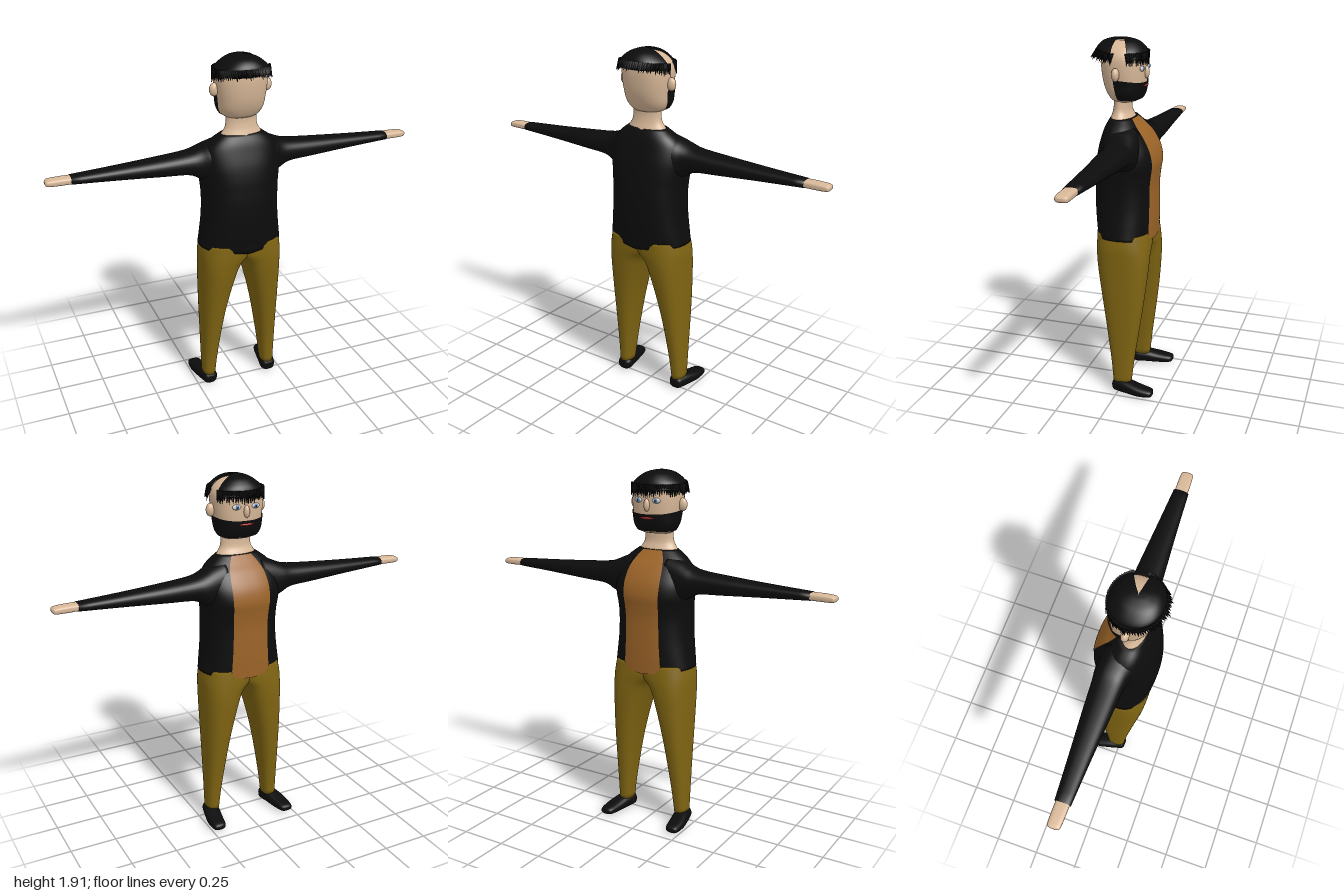
import * as THREE from 'three';

const COLORS = { skin: 0xd8b898, black: 0x0c0c0c, pants: 0x806512, panel: 0x9c6428, white: 0xf0f0f0, blue: 0x4a7fb5, red: 0xb03030 };
const mats = {};
for (const k in COLORS) mats[k] = new THREE.MeshStandardMaterial({ color: COLORS[k] });
const hairMat = new THREE.MeshStandardMaterial({ color: COLORS.black, side: THREE.DoubleSide });

// where (u, axis, v) land in xyz for each loft axis
const ORDER = { y: (u, t, v) => [u, t, v], x: (u, t, v) => [t, v, u], z: (u, t, v) => [v, u, t] };

// Smooth skin through rounded cross-sections [t, uLow, uHigh, vLow, vHigh], listed along the axis.
// from/to limit the angle or the length, to cut a patch out of the same surface.
function loft(sections, { axis = 'y', n = 2.4, a0 = 0, a1 = Math.PI * 2, s0 = 0, s1 = sections.length - 1, grow = 0, rows = 28, cols = 48, warp } = {}) {
  const curve = new THREE.CubicInterpolant(sections.map((s, i) => i), sections.flat(), 5);
  const full = a1 - a0 > 6.28;
  const pos = [], index = [];
  const w = full ? cols : cols + 1;
  const power = (c) => Math.sign(c) * Math.abs(c) ** (2 / n);
  const first = full ? -1 : 0, last = full ? rows + 1 : rows;
  for (let i = first; i <= last; i++) {
    const k = THREE.MathUtils.clamp(i / rows, 0, 1);
    const [t, ul, uh, vl, vh] = curve.evaluate(s0 + (s1 - s0) * k);
    const open = i < 0 || i > rows ? 0 : 1; // closed ends collapse to the middle
    for (let j = 0; j < w; j++) {
      const a = a0 + (a1 - a0) * j / cols;
      const u = (ul + uh) / 2 + open * ((uh - ul) / 2 + grow) * power(Math.cos(a));
      const v = (vl + vh) / 2 + open * ((vh - vl) / 2 + grow) * power(Math.sin(a));
      const p = ORDER[axis](u, t, v);
      if (warp) warp(p, k, a);
      pos.push(...p);
    }
  }
  for (let i = 0; i < last - first; i++) for (let j = 0; j < cols; j++) {
    const a = i * w + j, b = i * w + (j + 1) % w;
    index.push(a, a + w, b + w, a, b + w, b);
  }
  const g = new THREE.BufferGeometry();
  g.setAttribute('position', new THREE.Float32BufferAttribute(pos, 3));
  g.setIndex(index);
  g.computeVertexNormals();
  return g;
}

function add(parent, name, geometry, material, position = [0, 0, 0], scale = [1, 1, 1]) {
  const m = new THREE.Mesh(geometry, material);
  m.name = name;
  m.position.set(...position);
  m.scale.set(...scale);
  parent.add(m);
  return m;
}

const TORSO = [
  [0.89, -0.226, 0.226, -0.147, 0.147], [0.95, -0.217, 0.217, -0.15, 0.157], [1.05, -0.205, 0.205, -0.151, 0.165],
  [1.15, -0.202, 0.202, -0.151, 0.166], [1.22, -0.205, 0.205, -0.158, 0.162], [1.28, -0.212, 0.212, -0.165, 0.157],
  [1.35, -0.215, 0.215, -0.15, 0.145], [1.42, -0.2, 0.2, -0.11, 0.125], [1.465, -0.165, 0.165, -0.07, 0.11], [1.505, -0.112, 0.112, -0.035, 0.09],
];
const ARM = [
  [0.1, -0.1, 0.1, 1.26, 1.48], [0.17, -0.105, 0.09, 1.25, 1.458], [0.22, -0.105, 0.07, 1.27, 1.436], [0.28, -0.098, 0.06, 1.298, 1.418],
  [0.42, -0.09, 0.05, 1.308, 1.405], [0.64, -0.075, 0.035, 1.322, 1.39], [0.875, -0.06, 0.022, 1.335, 1.377],
];
const HAND = [
  [0.86, -0.053, 0.016, 1.338, 1.374], [0.93, -0.054, 0.015, 1.337, 1.374], [0.98, -0.053, 0.012, 1.338, 1.371], [0.995, -0.048, 0.007, 1.342, 1.366], [1.0, -0.035, -0.005, 1.349, 1.36],
];
const LEG = [
  [0.06, 0.145, 0.215, -0.07, 0.03], [0.2, 0.13, 0.217, -0.085, 0.045], [0.4, 0.102, 0.219, -0.112, 0.075], [0.55, 0.073, 0.221, -0.13, 0.1],
  [0.7, 0.033, 0.223, -0.143, 0.125], [0.78, 0, 0.224, -0.146, 0.135], [0.84, -0.06, 0.224, -0.146, 0.141], [0.91, -0.1, 0.214, -0.142, 0.143],
];
const SHOE = [
  [-0.202, 0.018, 0.032, 0.2, 0.228], [-0.188, 0.006, 0.044, 0.176, 0.246], [-0.12, 0, 0.056, 0.16, 0.25], [-0.05, 0, 0.07, 0.147, 0.237],
  [0, 0, 0.072, 0.138, 0.224], [0.024, 0.004, 0.066, 0.146, 0.216], [0.034, 0.018, 0.052, 0.16, 0.202],
];
const NECK = [
  [1.485, -0.122, 0.122, -0.035, 0.098], [1.51, -0.104, 0.104, -0.025, 0.089], [1.54, -0.087, 0.087, -0.012, 0.08], [1.58, -0.082, 0.082, -0.008, 0.075], [1.64, -0.085, 0.085, -0.008, 0.08],
];
const HEAD = [
  [1.59, -0.075, 0.075, -0.04, 0.075], [1.605, -0.1, 0.1, -0.066, 0.09], [1.64, -0.119, 0.119, -0.08, 0.11], [1.69, -0.126, 0.126, -0.087, 0.127],
  [1.75, -0.133, 0.133, -0.09, 0.136], [1.81, -0.133, 0.133, -0.088, 0.138], [1.85, -0.114, 0.114, -0.072, 0.128], [1.88, -0.075, 0.075, -0.04, 0.105], [1.893, -0.03, 0.03, 0, 0.07],
];
const HAIR = [
  [1.815, -0.145, 0.145, -0.098, 0.162], [1.845, -0.133, 0.133, -0.092, 0.168], [1.87, -0.108, 0.108, -0.075, 0.158], [1.893, -0.072, 0.072, -0.045, 0.13], [1.906, -0.03, 0.03, 0, 0.085], [1.909, -0.002, 0.002, 0.04, 0.044],
];

function addHair(head) {
  let seed = 7;
  const rand = () => (seed = (seed * 16807) % 2147483647) / 2147483647;
  // cap, left open over one temple
  const a0 = 0.1, a1 = Math.PI * 2 - 0.45;
  add(head, 'hairCap', loft(HAIR, { a0, a1, cols: 72, n: 2.2 }), hairMat);
  // pointed locks hanging from the rim, swept out at the back
  const locks = new THREE.Group();
  locks.name = 'hairLocks';
  const up = new THREE.Vector3(0, 1, 0);
  for (let i = 0; i < 76; i++) {
    const a = a0 + (a1 - a0) * (i + 0.3 + 0.4 * rand()) / 76;
    const c = Math.cos(a), s = Math.sin(a), back = Math.max(0, s);
    const base = new THREE.Vector3(0.139 * c, 1.842 + 0.008 * back, 0.032 + (s > 0 ? 0.128 : 0.124) * s);
    const dir = new THREE.Vector3(c * 0.22, -1 + 0.25 * back, s * (s > 0 ? 0.75 : 0.1)).normalize();
    const length = 0.05 + 0.022 * rand() - 0.012 * back;
    const lock = add(locks, 'hairLock', new THREE.ConeGeometry(0.012, length, 5), hairMat);
    lock.quaternion.setFromUnitVectors(up, dir);
    lock.position.copy(base).addScaledVector(dir, length / 2);
  }
  head.add(locks);
}

export function createModel() {
  const model = new THREE.Group();
  model.name = 'standingMan';
  const ball = new THREE.SphereGeometry(1, 20, 14);
  const front = -Math.PI / 2;

  // shirt with a dipped hem and a coloured front panel
  const hem = (p) => { if (p[1] < 0.93) p[1] -= (0.93 - p[1]) * 0.75 * (1 - Math.min(1, Math.abs(p[0]) / 0.22)); };
  add(model, 'shirt', loft(TORSO, { rows: 40, cols: 64, warp: hem }), mats.black);
  add(model, 'shirtPanel', loft(TORSO, { rows: 40, cols: 16, a0: front - 0.43, a1: front + 0.43, grow: 0.003, warp: hem }), mats.panel);

  // limbs, one group per side
  const limbs = [
    ['sleeve', loft(ARM, { axis: 'x', cols: 32 }), mats.black],
    ['hand', loft(HAND, { axis: 'x', n: 3.2, cols: 32 }), mats.skin],
    ['trouserLeg', loft(LEG, { n: 2.5, rows: 36 }), mats.pants],
    ['shoe', loft(SHOE, { axis: 'z', n: 2.6, cols: 32 }), mats.black],
  ];
  for (const side of [1, -1]) {
    const group = new THREE.Group();
    group.name = side > 0 ? 'leftLimbs' : 'rightLimbs';
    group.scale.x = side;
    for (const [name, geometry, material] of limbs) add(group, name, geometry, material);
    model.add(group);
  }

  // head and neck
  const head = new THREE.Group();
  head.name = 'head';
  model.add(head);
  add(head, 'neck', loft(NECK, { n: 2 }), mats.skin);
  add(head, 'skull', loft(HEAD), mats.skin);
  // beard wraps the jaw, its upper edge dipping towards the mouth
  const dip = (p, k, a) => { p[1] -= 0.022 * k * k * Math.cos((a - front) / 2) ** 4; };
  add(head, 'beard', loft(HEAD, { s0: 0.9, s1: 3.4, a0: front - 1.72, a1: front + 1.72, grow: 0.004, warp: dip }), hairMat);
  add(head, 'mouth', ball, mats.red, [0, 1.672, -0.09], [0.04, 0.006, 0.006]);
  add(head, 'nose', ball, mats.skin, [0, 1.738, -0.092], [0.016, 0.032, 0.016]);
  for (const side of [1, -1]) {
    add(head, 'ear', ball, mats.skin, [side * 0.142, 1.738, 0.028], [0.025, 0.034, 0.02]);
    add(head, 'eye', ball, mats.white, [side * 0.052, 1.762, -0.084], [0.024, 0.014, 0.01]);
    add(head, 'iris', ball, mats.blue, [side * 0.052, 1.762, -0.091], [0.01, 0.011, 0.005]);
    add(head, 'pupil', ball, mats.black, [side * 0.052, 1.762, -0.095], [0.004, 0.005, 0.002]);
  }
  addHair(head);
  return model;
}
